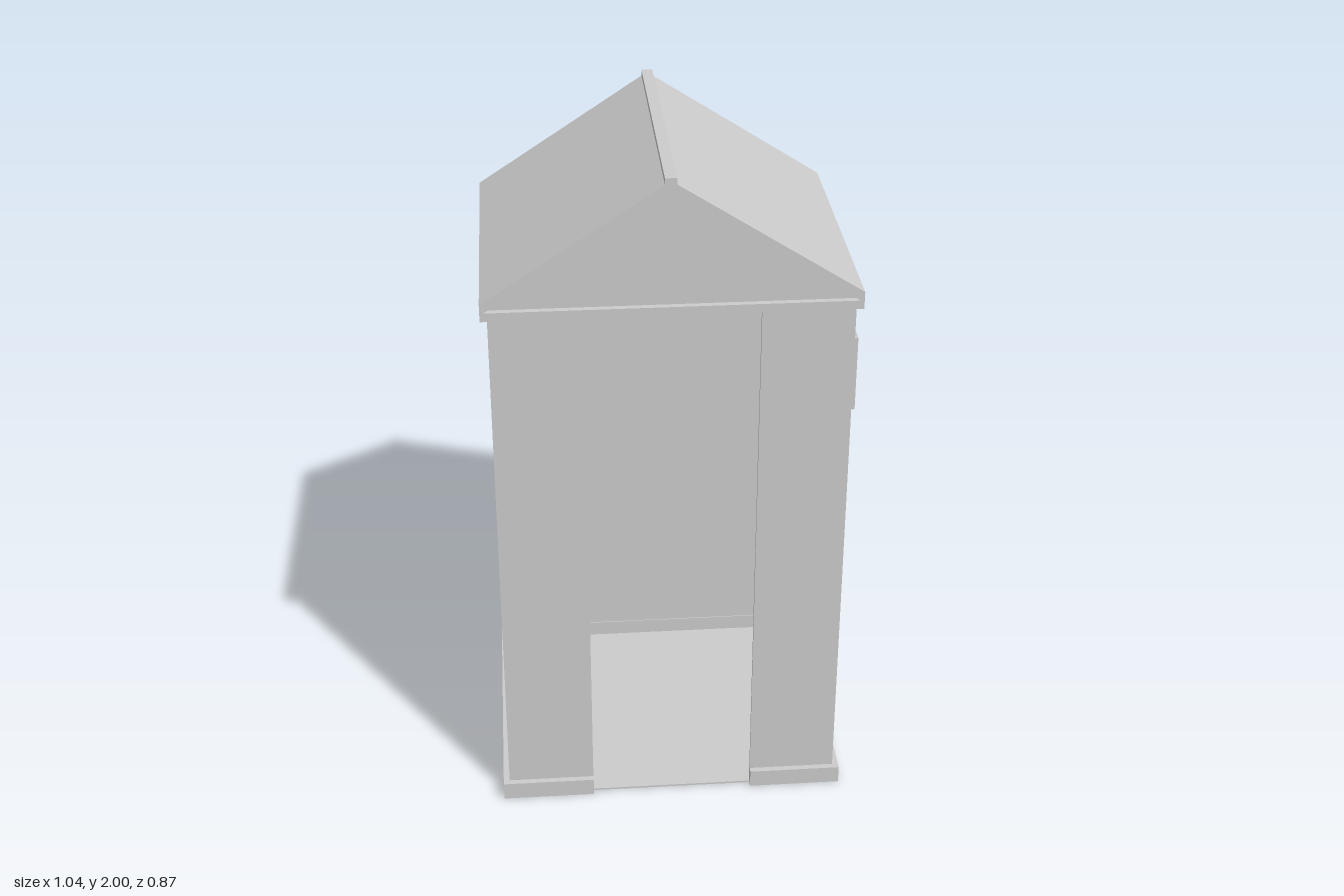
import * as THREE from 'three';

const material = new THREE.MeshStandardMaterial({ color: 0xcccccc, flatShading: true });

export function createModel() {
  const model = new THREE.Group();
  model.name = 'sentryBox';

  const add = (name, geometry) => {
    const mesh = new THREE.Mesh(geometry, material);
    mesh.name = name;
    model.add(mesh);
    return mesh;
  };
  // Box given by its limits on each axis
  const box = (name, x0, x1, y0, y1, z0, z1) =>
    add(name, new THREE.BoxGeometry(x1 - x0, y1 - y0, z1 - z0)
      .translate((x0 + x1) / 2, (y0 + y1) / 2, (z0 + z1) / 2));
  const points = (list) => list.map(([x, y]) => new THREE.Vector2(x, y));
  const rect = (w, y0, y1) => points([[-w, y0], [w, y0], [w, y1], [-w, y1]]);
  // Outline with an optional hole, extruded along z
  const extrude = (outline, hole, depth) => {
    const shape = new THREE.Shape(outline);
    if (hole) shape.holes.push(new THREE.Path(hole));
    return new THREE.ExtrudeGeometry(shape, { depth, bevelEnabled: false });
  };

  const left = -0.503, right = 0.487, half = 0.414, eave = 1.61;
  const doorL = -0.248, doorR = 0.232, t = 0.01;

  // Floor and thin walls, with the doorway open to the eaves
  box('floor', left, right, 0, 0.006, -half, half);
  box('backWall', left, right, 0, eave, -half, -half + t);
  box('sideWall', left, left + t, 0, eave, -half, half);
  box('frontPanel', left, doorL, 0, eave, half - t, half);
  box('frontPanel', doorR, right, 0, eave, half - t, half);

  // Side wall with the window opening, and its raised frame
  const opening = rect(0.252, 1.275, 1.408);
  add('windowWall', extrude(rect(half, 0, eave), opening, t)
    .rotateY(Math.PI / 2).translate(right - t, 0, 0));
  add('windowFrame', extrude(rect(0.292, 1.23, 1.456), opening, 0.033 + t)
    .rotateY(Math.PI / 2).translate(right - t, 0, 0));

  // Base trim around the walls, interrupted at the doorway
  const o = 0.018, i = 0.013, h = 0.055;
  box('baseTrim', left - o, left + i, 0, h, -half - o, half + o);
  box('baseTrim', right - i, right + o, 0, h, -half - o, half + o);
  box('baseTrim', left, right, 0, h, -half - o, -half + i);
  box('baseTrim', left, doorL, 0, h, half - i, half + o);
  box('baseTrim', doorR, right, 0, h, half - i, half + o);

  // Roof shell; its bottom bar is the ceiling
  const ridge = -0.015, roofL = -0.522, roofR = 0.505;
  const roof = points([[roofL, eave], [roofR, eave], [roofR, 1.66],
    [ridge + 0.015, 1.983], [ridge - 0.015, 1.983], [roofL, 1.66]]);
  const recess = points([[roofL + 0.01, 1.635], [roofR - 0.01, 1.635],
    [ridge + 0.012, 1.957], [ridge - 0.012, 1.957]]);
  add('roof', extrude(roof, recess, 0.861)).position.z = -0.433;

  // Recessed gables at both ends
  for (const [name, z] of [['frontGable', 0.4], ['backGable', -0.41]]) {
    add(name, extrude(recess, null, 0.01)).position.z = z;
  }

  box('ridgeCap', ridge - 0.016, ridge + 0.016, 1.97, 2, -0.433, 0.428);
  return model;
}
